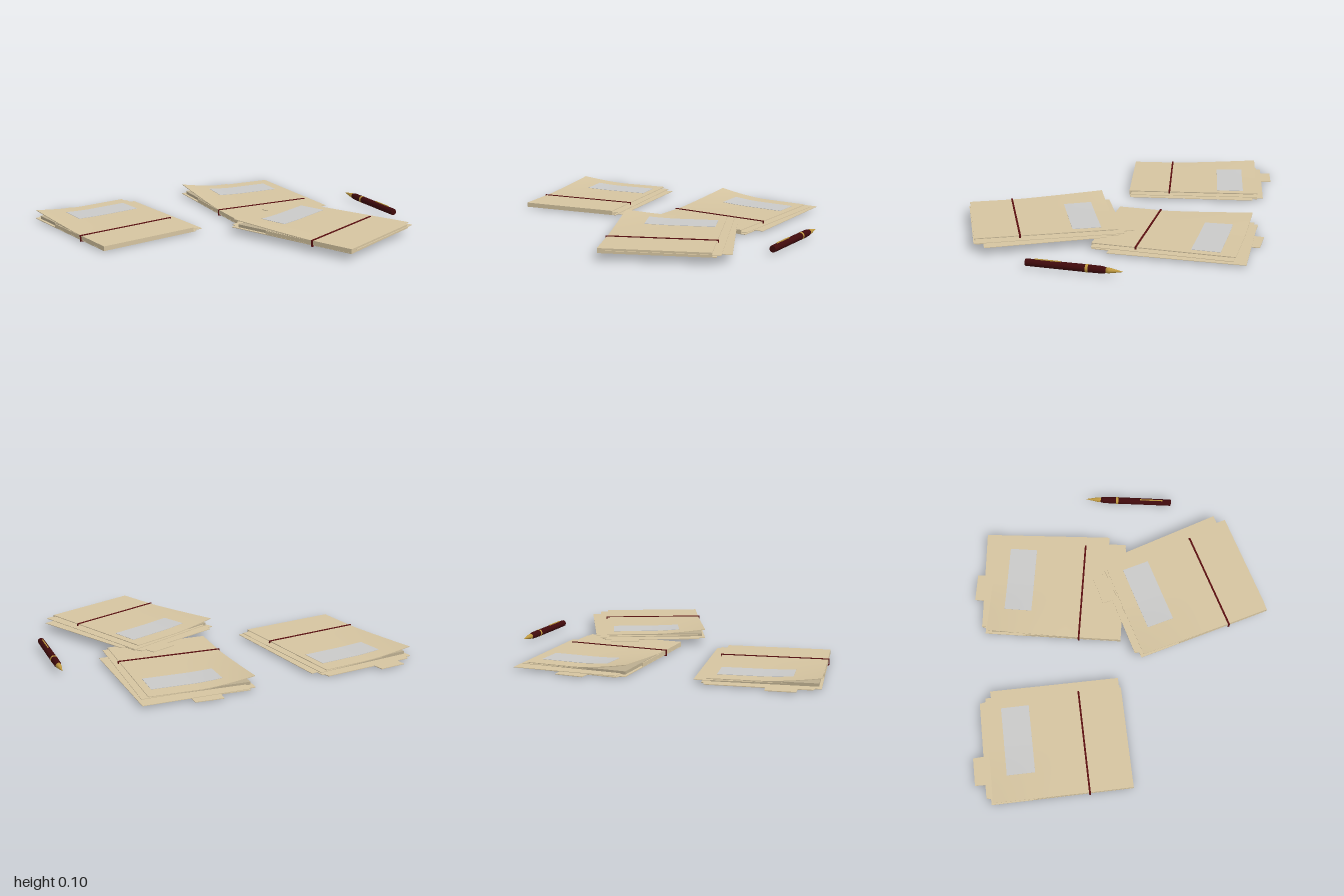
import * as THREE from 'three';

const mat = (name, color) => {
  const m = new THREE.MeshStandardMaterial({ color });
  m.name = name;
  return m;
};

export function createModel() {
  const tan = mat('manila card', 0xd5c4a0);
  const edge = mat('paper edge', 0xbcae90);
  const grey = mat('label grey', 0xc9c9c8);
  const red = mat('strap red', 0x5a0f10);
  const maroon = mat('pen maroon', 0x400a0c);
  const gold = mat('gold', 0xc09a40);

  const root = new THREE.Group();
  root.name = 'foldersAndPen';

  const add = (parent, name, geo, material, x = 0, y = 0, z = 0) => {
    const m = new THREE.Mesh(geo, material);
    m.name = name;
    m.position.set(x, y, z);
    parent.add(m);
  };

  // flat sheet from an outline of (x, z) points
  const sheet = (pts, t) => {
    const s = new THREE.Shape(pts.map(([x, z]) => new THREE.Vector2(x, -z)));
    return new THREE.ExtrudeGeometry(s, { depth: t, bevelEnabled: false }).rotateX(-Math.PI / 2);
  };

  // thin plate whose back left corner curls upward
  const curled = (w, t, d, cx, cz, height) => {
    const g = new THREE.BoxGeometry(w, t, d, 24, 1, 24).translate(cx, 0, cz);
    const p = g.attributes.position;
    for (let i = 0; i < p.count; i++) {
      const s = Math.max(0, (0.02 - p.getX(i)) / 0.336);
      const q = Math.max(0, (0.13 - p.getZ(i)) / 0.552);
      p.setY(i, p.getY(i) + height * Math.pow(s, 1.6) * Math.pow(q, 1.2));
    }
    g.computeVertexNormals();
    return g;
  };

  const W = 0.632, H = 0.848;

  function folder(name, x, y, z, degrees, tab, curl, pages) {
    const f = new THREE.Group();
    f.name = name;
    f.position.set(x, y, z);
    f.rotation.y = -THREE.MathUtils.degToRad(degrees);
    root.add(f);

    // back cover with its index tab
    add(f, 'backCover', sheet([
      [-0.316, 0.422], [-0.316, -0.437], [-0.28, -0.438], [-0.272, -0.465],
      [tab - 0.003, -0.465], [tab, -0.528], [tab + 0.17, -0.527], [tab + 0.173, -0.463],
      [0.324, -0.459], [0.33, -0.425], [0.345, -0.42], [0.34, 0.418],
    ], 0.004), tan, 0, 0.006, 0);

    // loose pages, each given by its two right corners
    pages.forEach(([tx, tz, bx, bz], i) => {
      add(f, 'page', sheet([[-0.27, bz], [-0.27, tz + 0.03], [tx, tz], [bx, bz]], 0.003),
        tan, 0, 0.013 + i * 0.007, 0);
    });
    add(f, 'paperStack', new THREE.BoxGeometry(0.6, 0.018, 0.81), edge, 0, 0.02, 0.008);

    // folded spine, front cover and label
    add(f, 'spine', new THREE.BoxGeometry(W, 0.025, 0.008), tan, 0, 0.0205, 0.419);
    add(f, 'leftFold', new THREE.BoxGeometry(0.006, 0.022, 0.6), tan, -0.312, 0.02, 0.12);
    add(f, 'frontCover', curled(W, 0.004, H, 0, 0, curl), tan, 0, 0.033, 0);
    add(f, 'label', curled(0.426, 0.002, 0.172, 0.058, -0.243, curl), grey, 0, 0.0358, 0);

    // elastic strap around the folder
    for (const sy of [0.002, 0.037]) {
      add(f, 'strap', new THREE.BoxGeometry(0.648, 0.004, 0.011), red, 0, sy, 0.158);
    }
    for (const sx of [-0.322, 0.322]) {
      add(f, 'strapSide', new THREE.BoxGeometry(0.004, 0.039, 0.011), red, sx, 0.0195, 0.158);
    }
  }

  folder('leftFolder', -0.64, 0, -0.462, 4, -0.187, 0.03,
    [[0.394, -0.389, 0.386, 0.414], [0.35, -0.42, 0.36, 0.41]]);
  folder('rightFolder', 0.367, 0, -0.29, 14.5, -0.091, 0.04,
    [[0.371, -0.493, 0.4, 0.31], [0.354, -0.417, 0.349, 0.42]]);
  folder('frontFolder', 0.2025, 0.034, 0.52, -10.5, 0.115, 0.027,
    [[0.385, -0.346, 0.422, 0.373], [0.358, -0.443, 0.366, 0.43]]);

  // fountain pen lying down, built along +y then aimed at its tip
  const pen = new THREE.Group();
  pen.name = 'pen';
  const tail = new THREE.Vector3(0.845, 0.031, 0.557);
  const dir = new THREE.Vector3(0.978, 0.031, 0.01).sub(tail).normalize();
  const up = new THREE.Vector3(0, 1, 0);
  const side = new THREE.Vector3().crossVectors(dir, up);
  pen.quaternion.setFromRotationMatrix(new THREE.Matrix4().makeBasis(side, dir, up));
  pen.position.copy(tail);
  root.add(pen);
  const lathe = (pts) => new THREE.LatheGeometry(pts.map(([r, h]) => new THREE.Vector2(r, h)), 14);
  add(pen, 'barrel', lathe([[0, 0], [0.019, 0], [0.019, 0], [0.021, 0.004], [0.022, 0.36],
    [0.021, 0.445], [0.016, 0.468], [0, 0.468]]), maroon);
  add(pen, 'ring', new THREE.CylinderGeometry(0.0228, 0.0228, 0.016, 14), gold, 0, 0.357, 0);
  add(pen, 'nib', lathe([[0, 0.466], [0.0165, 0.466], [0.0155, 0.485], [0.009, 0.52],
    [0.003, 0.552], [0, 0.564]]), gold);
  add(pen, 'clip', new THREE.BoxGeometry(0.006, 0.15, 0.005), gold, 0, 0.13, 0.0235);

  return root;
}
